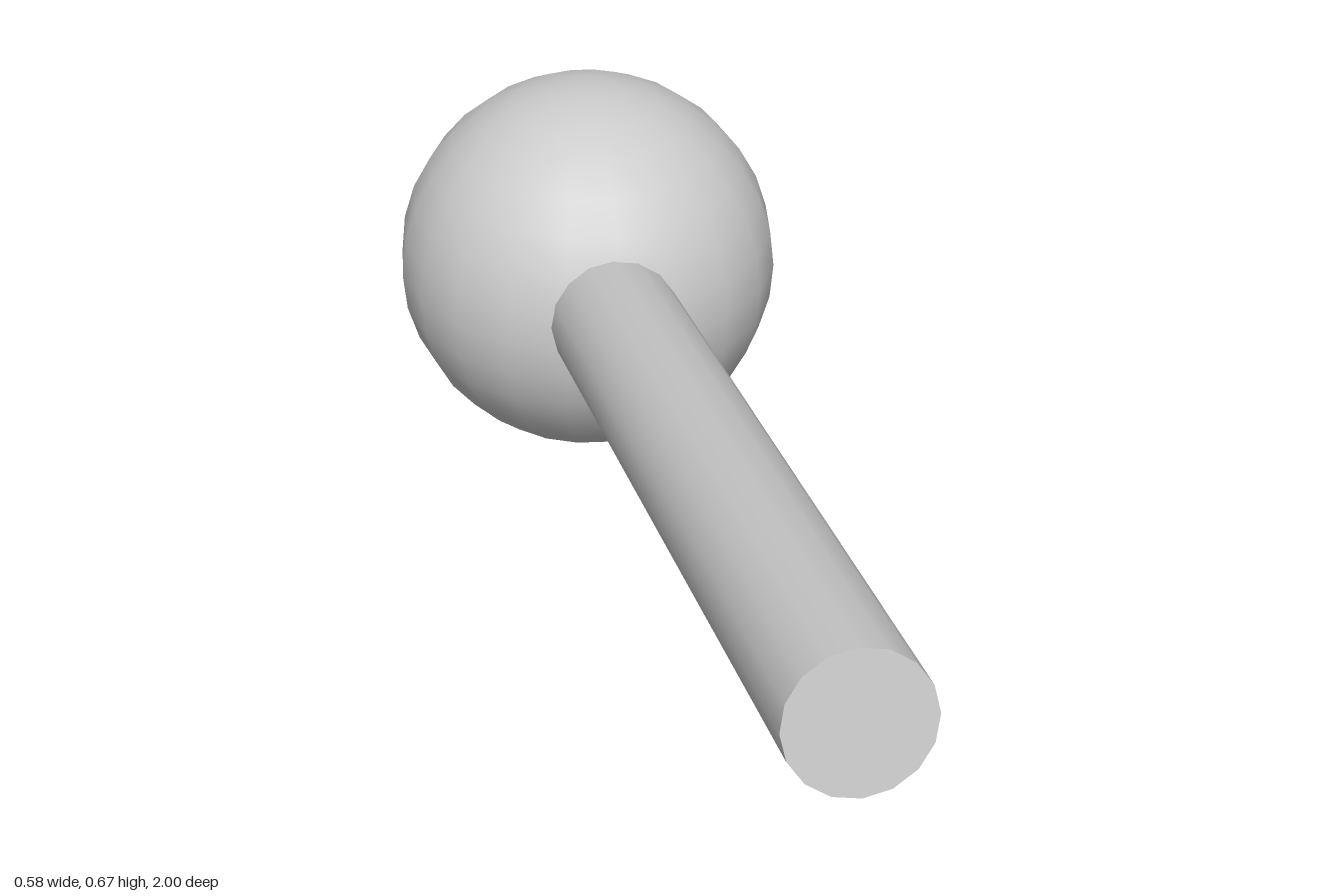
import * as THREE from 'three';

export function createModel() {
  const group = new THREE.Group();
  const material = new THREE.MeshStandardMaterial({ color: 0xcccccc });

  // Ball resting on the ground at the back
  const radius = 0.292;
  const ball = new THREE.Mesh(new THREE.SphereGeometry(radius, 20, 16), material);
  ball.name = 'ball';
  ball.position.set(0, radius, -1 + radius);
  group.add(ball);

  // Straight rod, rising 10 degrees towards the front, its rear end sunk in the ball
  const length = 1.6;
  const tilt = THREE.MathUtils.degToRad(10);
  const rodGeometry = new THREE.CylinderGeometry(0.098, 0.098, length, 16);
  rodGeometry.translate(0, -length / 2, 0); // pivot at the free end
  const rod = new THREE.Mesh(rodGeometry, material);
  rod.name = 'rod';
  rod.rotation.x = Math.PI / 2 - tilt;
  rod.position.set(-0.01, 0.576, 0.983);
  group.add(rod);

  return group;
}
